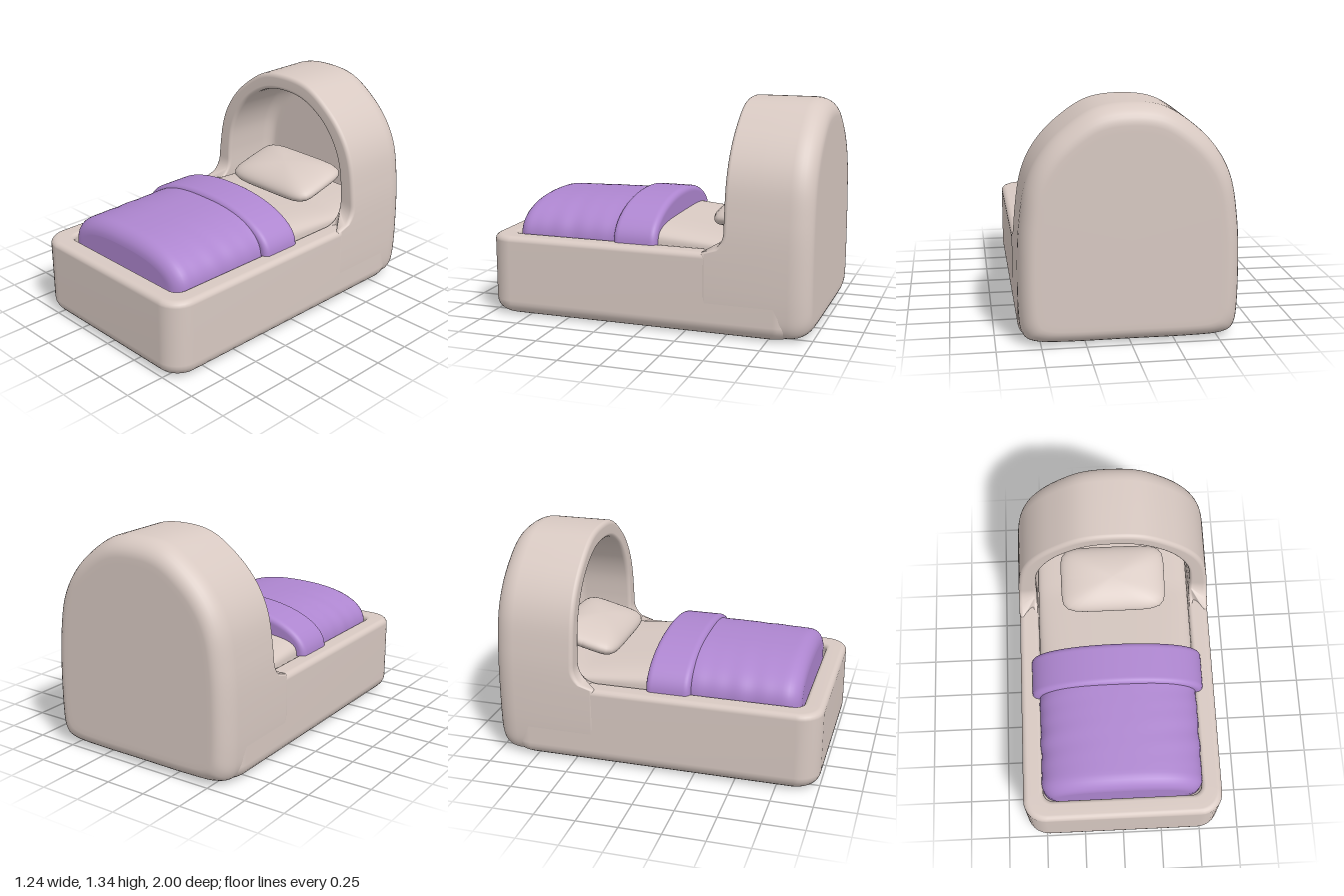
import * as THREE from 'three';

const beige = new THREE.MeshStandardMaterial({ color: 0xd8c9c2 });
beige.name = 'warm beige';
const purple = new THREE.MeshStandardMaterial({ color: 0xae86d0 });
purple.name = 'soft purple';

// Skin a list of closed rings (equal point counts); both ends are capped.
function loft(rings) {
  const centre = (ring) => {
    const c = new THREE.Vector3();
    ring.forEach((p) => c.add(p));
    c.divideScalar(ring.length);
    return ring.map(() => c);
  };
  const shrink = (ring) => {
    const c = centre(ring)[0];
    return ring.map((p) => p.clone().lerp(c, 0.06));
  };
  const first = rings[0], last = rings[rings.length - 1];
  const all = [centre(first), shrink(first), ...rings, shrink(last), centre(last)];
  const n = first.length, pos = [], idx = [];
  all.forEach((ring) => ring.forEach((p) => pos.push(p.x, p.y, p.z)));
  for (let i = 0; i < all.length - 1; i++) {
    for (let j = 0; j < n; j++) {
      const a = i * n + j, b = i * n + ((j + 1) % n);
      // The end fans need only one triangle per side.
      if (i < all.length - 2) idx.push(a, b + n, a + n);
      if (i > 0) idx.push(a, b, b + n);
    }
  }
  const g = new THREE.BufferGeometry();
  g.setAttribute('position', new THREE.Float32BufferAttribute(pos, 3));
  g.setIndex(idx);
  g.computeVertexNormals();
  return g;
}

// Smooth closed outline from its right half, listed from bottom centre to top centre.
function outline(half) {
  const left = half.slice(1, -1).reverse().map(([x, y]) => [-x, y]);
  const pts = [...half, ...left].map(([x, y]) => new THREE.Vector3(x, y, 0));
  return new THREE.CatmullRomCurve3(pts, true, 'catmullrom', 0.5).getPoints(220).slice(0, -1);
}

// Arched hood: rounded back, outer wall, front rim, hollow inside.
function hoodGeometry() {
  const outer = outline([[0, 0], [0.35, 0], [0.53, 0.012], [0.6, 0.06], [0.62, 0.2], [0.62, 0.49],
    [0.606, 0.7], [0.572, 0.9], [0.5, 1.055], [0.38, 1.19], [0.2, 1.31], [0, 1.34]]);
  const inner = outline([[0, 0.4], [0.3, 0.4], [0.42, 0.41], [0.48, 0.44], [0.5, 0.48], [0.5, 0.55],
    [0.497, 0.7], [0.475, 0.86], [0.415, 1.0], [0.315, 1.12], [0.165, 1.21], [0, 1.235]]);
  // The front edge sweeps forward into the side rails.
  const flare = (y) => {
    const t = THREE.MathUtils.clamp((0.62 - y) / 0.13, 0, 1);
    return 0.13 * (1 - Math.sqrt(1 - t * t));
  };
  const ring = (base, s, z, front) => base.map((p) => {
    const y = 0.6 + (p.y - 0.6) * s;
    return new THREE.Vector3(p.x * s, y, z + (front ? flare(p.y) : 0));
  });
  const rings = [];
  for (let i = 0; i <= 8; i++) {
    const a = (i / 8) * Math.PI / 2;
    rings.push(ring(outer, 0.85 + 0.15 * Math.sin(a), -0.87 - 0.13 * Math.cos(a), false));
  }
  rings.push(ring(outer, 1, -0.7, false));
  for (let i = 0; i <= 5; i++) {
    const a = (i / 5) * Math.PI / 2;
    rings.push(ring(outer, 0.96 + 0.04 * Math.cos(a), -0.515 + 0.025 * Math.sin(a), true));
  }
  for (let i = 0; i <= 5; i++) {
    const a = (i / 5) * Math.PI / 2;
    rings.push(ring(inner, 1.04 - 0.04 * Math.sin(a), -0.515 + 0.025 * Math.cos(a), true));
  }
  for (let i = 0; i <= 6; i++) {
    const a = (i / 6) * Math.PI / 2;
    rings.push(ring(inner, 0.87 + 0.12 * Math.cos(a), -0.8 - 0.08 * Math.sin(a), false));
  }
  return loft(rings);
}

// Open tray: rounded-rectangle rings from the underside, over the rim and down inside.
function trayGeometry() {
  const ring = (inset, y) => {
    const hw = 0.62 - inset, zf = 1 - inset, zb = -0.93 + inset;
    const r = Math.max(0.14 - inset * 0.6, 0.05);
    const corners = [[hw - r, zf - r], [hw - r, zb + r], [r - hw, zb + r], [r - hw, zf - r]];
    return corners.flatMap(([cx, cz], q) => Array.from({ length: 9 }, (_, i) => {
      const a = (q - 1 + i / 8) * Math.PI / 2;
      return new THREE.Vector3(cx + r * Math.cos(a), y, cz - r * Math.sin(a));
    }));
  };
  const rings = [];
  const arc = (n, f) => { for (let i = 0; i <= n; i++) rings.push(f((i / n) * Math.PI / 2)); };
  arc(6, (a) => ring(0.09 * (1 - Math.sin(a)), 0.09 * (1 - Math.cos(a))));
  arc(5, (a) => ring(0.035 * (1 - Math.cos(a)), 0.46 + 0.035 * Math.sin(a)));
  arc(5, (a) => ring(0.1 + 0.025 * Math.sin(a), 0.47 + 0.025 * Math.cos(a)));
  rings.push(ring(0.125, 0.35));
  return loft(rings);
}

// Soft domed slab running along z, with rounded ends and optional wrinkles.
function domeGeometry({ hw, top, base, bottom, power, z0, z1, round, wrinkle = 0 }) {
  const rings = [];
  const section = (z, inset) => {
    const w = hw - inset, h = top(z) - base - inset;
    const ring = [new THREE.Vector3(w, bottom, z)];
    for (let i = 0; i <= 40; i++) {
      const a = (i / 40) * Math.PI, c = Math.cos(a), s = Math.max(Math.sin(a), 0);
      const fold = 1 + wrinkle * Math.abs(c) * Math.sin(z * 38 + 2 * c) * Math.sin(z * 9);
      ring.push(new THREE.Vector3(
        Math.sign(c) * w * Math.abs(c) ** (2 / power) * fold,
        base + h * s ** (2 / power) * fold, z));
    }
    ring.push(new THREE.Vector3(-w, bottom, z));
    rings.push(ring);
  };
  const N = 7, M = 30;
  for (let i = 0; i <= N; i++) {
    const a = (i / N) * Math.PI / 2;
    section(z0 + round * (1 - Math.cos(a)), round * (1 - Math.sin(a)));
  }
  for (let i = 1; i < M; i++) section(z0 + round + (z1 - z0 - 2 * round) * (i / M), 0);
  for (let i = 0; i <= N; i++) {
    const a = (i / N) * Math.PI / 2;
    section(z1 - round * (1 - Math.sin(a)), round * (1 - Math.cos(a)));
  }
  return loft(rings);
}

// Cushion: a sphere squared off in plan and flattened.
function pillowGeometry() {
  const g = new THREE.SphereGeometry(1, 48, 32);
  const p = g.attributes.position;
  for (let i = 0; i < p.count; i++) {
    const x = p.getX(i), y = p.getY(i), z = p.getZ(i);
    const r = Math.hypot(x, z);
    const k = r > 1e-6 ? ((Math.abs(x) / r) ** 6 + (Math.abs(z) / r) ** 6) ** (-1 / 6) : 1;
    p.setXYZ(i, x * k * 0.335, y * 0.09, z * k * 0.21);
  }
  g.computeVertexNormals();
  return g;
}

export function createModel() {
  const bed = new THREE.Group();
  bed.name = 'hoodedBed';
  const add = (name, geometry, material) => {
    const mesh = new THREE.Mesh(geometry, material);
    mesh.name = name;
    bed.add(mesh);
    return mesh;
  };

  // Frame
  add('hood', hoodGeometry(), beige);
  add('bedTray', trayGeometry(), beige);

  // Bedding
  add('mattress', domeGeometry({
    hw: 0.492, top: (z) => THREE.MathUtils.clamp(0.605 + z * 0.11, 0.55, 0.61), base: 0.47, bottom: 0.34,
    power: 4, z0: -0.87, z1: 0.8, round: 0.04,
  }), beige);
  const pillow = add('pillow', pillowGeometry(), beige);
  pillow.position.set(0, 0.665, -0.53);
  pillow.rotation.x = 0.25;
  add('blanket', domeGeometry({
    hw: 0.5, top: (z) => 0.712 - 0.03 * Math.max(z - 0.2, 0) ** 1.2, base: 0.47, bottom: 0.4,
    power: 2.4, z0: 0.05, z1: 0.86, round: 0.09, wrinkle: 0.008,
  }), purple);
  add('blanketFold', domeGeometry({
    hw: 0.545, top: () => 0.738, base: 0.495, bottom: 0.49,
    power: 2.1, z0: -0.06, z1: 0.21, round: 0.035,
  }), purple);
  return bed;
}
